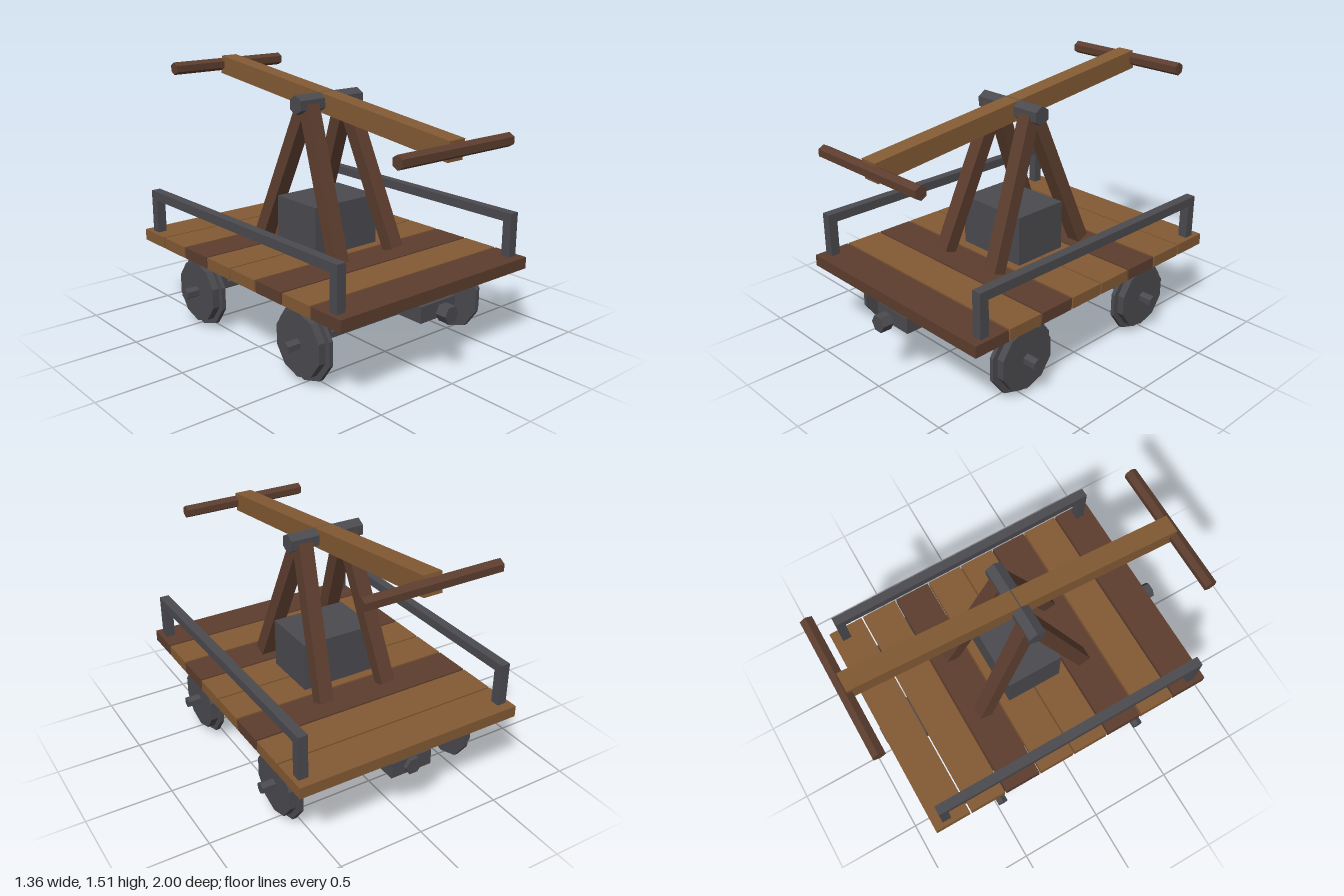
import * as THREE from 'three';

const mat = (name, color) => {
  const m = new THREE.MeshStandardMaterial({ color });
  m.name = name;
  return m;
};

export function createModel() {
  const lightWood = mat('light wood', 0x835a34);
  const darkWood = mat('dark wood', 0x5c3d2e);
  const frameWood = mat('frame wood', 0x683c27);
  const iron = mat('iron', 0x4a4a4f);

  const model = new THREE.Group();
  model.name = 'handcar';

  const add = (name, geometry, material, x, y, z) => {
    const mesh = new THREE.Mesh(geometry, material);
    mesh.name = name;
    mesh.position.set(x, y, z);
    model.add(mesh);
    return mesh;
  };
  const box = (name, material, w, h, d, x, y, z) =>
    add(name, new THREE.BoxGeometry(w, h, d), material, x, y, z);
  // faceted bar along x, with a corner at the top
  const barGeometry = (r, length, sides) =>
    new THREE.CylinderGeometry(r, r, length, sides).toNonIndexed().rotateX(Math.PI / 2).rotateY(Math.PI / 2);
  const bar = (name, material, r, length, sides, x, y, z) => {
    const g = barGeometry(r, length, sides);
    g.computeVertexNormals();
    return add(name, g, material, x, y, z);
  };

  // Deck planks, front to back
  const plankWoods = [darkWood, lightWood, darkWood, lightWood, lightWood, darkWood, lightWood, lightWood];
  plankWoods.forEach((wood, i) =>
    box('plank', wood, 1.36, 0.066, 0.217, 0, 0.482, (3.5 - i) * 0.2275));

  // Chassis and engine housing
  box('chassis', frameWood, 0.93, 0.11, 1.31, 0, 0.379, 0);
  box('gearHousing', iron, 0.45, 0.288, 0.34, 0, 0.659, 0);

  // Couplers at both ends; the knobs face along z
  for (const [s, knobZ] of [[1, 0.948], [-1, -0.875]]) {
    box('coupler', iron, 0.25, 0.09, 0.225, 0, 0.38, s * 0.773);
    const knob = bar('couplerKnob', iron, 0.05, 0.066, 6, 0, 0.38, knobZ);
    knob.geometry.rotateY(Math.PI / 2).rotateZ(Math.PI / 2);
  }

  // Axles with bearings and flanged wheels
  for (const z of [0.477, -0.477]) {
    bar('axle', iron, 0.033, 1.36, 6, 0, 0.22, z);
    for (const s of [1, -1]) {
      box('axleBearing', iron, 0.065, 0.13, 0.12, s * 0.455, 0.311, z);
      bar('wheelFlange', iron, 0.215, 0.024, 10, s * 0.546, 0.22, z);
      bar('wheelTread', iron, 0.182, 0.045, 10, s * 0.578, 0.22, z);
    }
  }

  // Side rails
  for (const s of [1, -1]) {
    box('rail', iron, 0.055, 0.052, 1.7, s * 0.627, 0.741, 0);
    for (const z of [0.822, -0.822])
      box('railPost', iron, 0.055, 0.205, 0.055, s * 0.627, 0.615, z);
  }

  // Splayed legs holding the pivot
  const up = new THREE.Vector3(0, 1, 0);
  for (const sx of [1, -1]) {
    for (const sz of [1, -1]) {
      const foot = new THREE.Vector3(sx * 0.203, 0.525, sz * 0.337);
      const head = new THREE.Vector3(sx * 0.139, 1.335, sz * 0.012);
      const axis = head.clone().sub(foot);
      const leg = box('leg', darkWood, 0.085, axis.length(), 0.08, 0, 0, 0);
      leg.position.copy(foot).add(head).multiplyScalar(0.5);
      leg.quaternion.setFromUnitVectors(up, axis.normalize());
    }
  }
  bar('pivot', iron, 0.055, 0.45, 6, 0, 1.345, 0);

  // Rocking beam with a handle at each end
  const beam = box('beam', lightWood, 0.107, 0.11, 1.945, 0, 1.343, 0);
  beam.rotation.x = 0.117;
  bar('frontHandle', darkWood, 0.038, 0.79, 6, 0, 1.231, 0.967);
  bar('backHandle', darkWood, 0.038, 0.79, 6, 0, 1.457, -0.967);

  return model;
}
